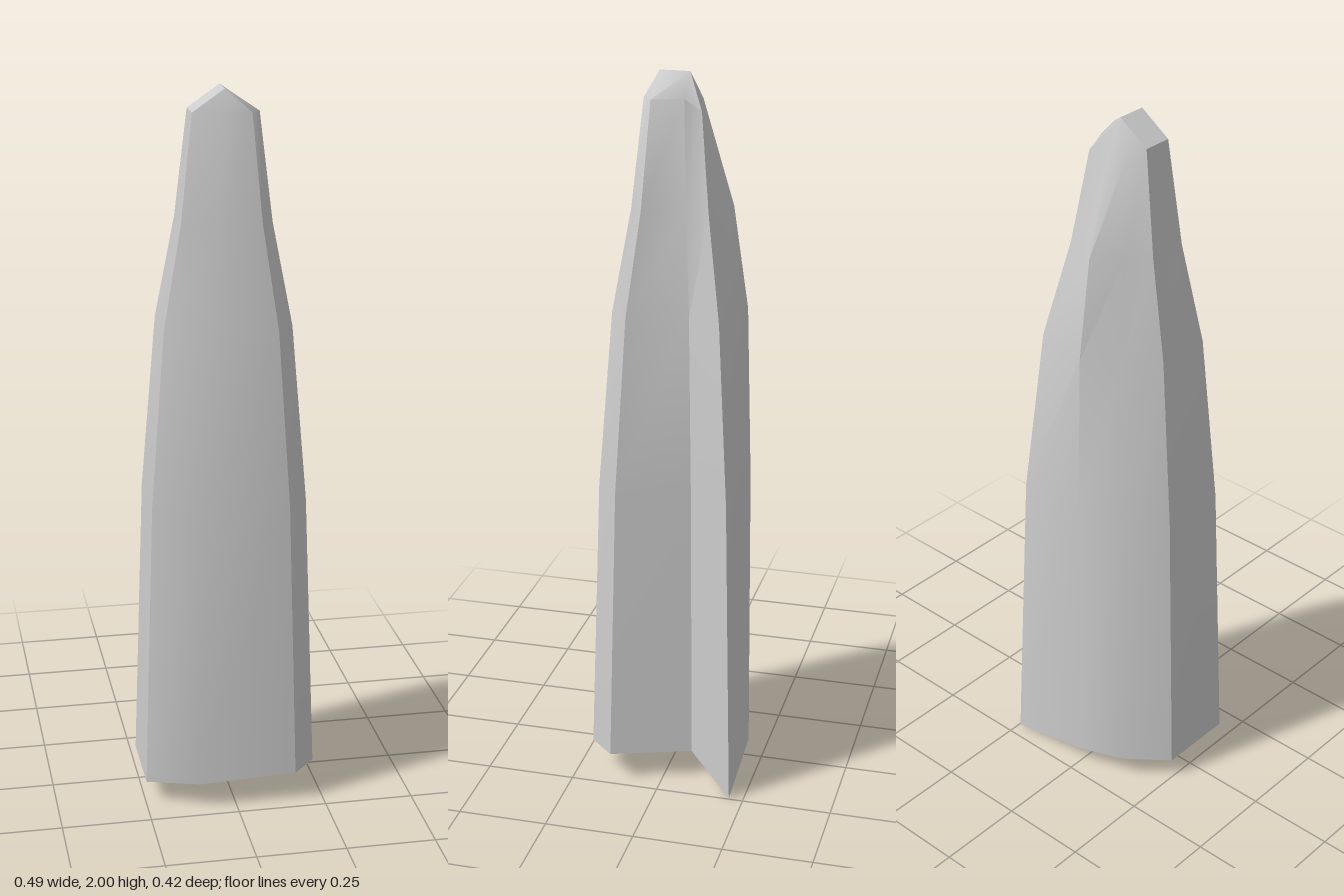
import * as THREE from 'three';
import { toCreasedNormals } from 'three/addons/utils/BufferGeometryUtils.js';

// Taper from base to crown at each level, and the heights of the middle levels
const TAPER = [0, 0.18, 0.44, 0.78, 1];
const BULGED = [0, 0.04, 0.14, 0.45, 1];
const LEVELS = [0.88, 1.37, 1.65];

// Vertical edges of the spire, clockwise from above: base point, crown point, taper
const EDGES = [
  { base: [-0.247, 0.06, -0.08], top: [-0.092, 1.94, -0.03] },
  { base: [-0.137, 0.065, -0.175], top: [-0.05, 1.92, -0.055] },
  { base: [-0.005, 0.05, -0.21], top: [-0.005, 1.89, -0.077], taper: BULGED },
  { base: [0.247, 0.0, -0.21], top: [0.058, 1.91, -0.077] },
  { base: [0.16, 0.085, -0.08], top: [0.058, 1.94, -0.03] },
  { base: [0.235, 0.085, 0.14], top: [0.087, 1.94, 0.052] },
  { base: [0.17, 0.085, 0.21], top: [0.063, 1.94, 0.077] },
  { base: [-0.107, 0.075, 0.21], top: [-0.005, 1.94, 0.077] },
  { base: [-0.247, 0.06, 0.14], top: [-0.092, 1.94, 0.052] },
];

// Short ridge at the very top
const RIDGE_BACK = [-0.005, 2, -0.03];
const RIDGE_FRONT = [-0.005, 2, 0.052];
const BASE_CENTRE = [0, 0.07, 0];

function edgePoint({ base, top, taper = TAPER }, level) {
  const t = taper[level];
  const y = level === 0 ? base[1] : level === 4 ? top[1] : LEVELS[level - 1];
  return [base[0] + (top[0] - base[0]) * t, y, base[2] + (top[2] - base[2]) * t];
}

function spireGeometry() {
  const positions = [];
  const tri = (...corners) => corners.forEach((c) => positions.push(...c));
  const ridge = (i) => (i <= 4 ? RIDGE_BACK : RIDGE_FRONT);
  const n = EDGES.length;

  for (let i = 0; i < n; i++) {
    const j = (i + 1) % n;

    // Side walls
    for (let k = 0; k < 4; k++) {
      const a = edgePoint(EDGES[i], k), b = edgePoint(EDGES[j], k);
      const aUp = edgePoint(EDGES[i], k + 1), bUp = edgePoint(EDGES[j], k + 1);
      tri(b, a, aUp);
      tri(b, aUp, bUp);
    }

    // Underside
    tri(BASE_CENTRE, edgePoint(EDGES[i], 0), edgePoint(EDGES[j], 0));

    // Crown rising to the ridge
    const a = edgePoint(EDGES[i], 4), b = edgePoint(EDGES[j], 4);
    tri(ridge(i), b, a);
    if (ridge(i) !== ridge(j)) tri(ridge(i), ridge(j), b);
  }

  const geometry = new THREE.BufferGeometry();
  geometry.setAttribute('position', new THREE.Float32BufferAttribute(positions, 3));
  return toCreasedNormals(geometry, THREE.MathUtils.degToRad(42));
}

export function createModel() {
  const group = new THREE.Group();
  group.name = 'rockSpire';
  const stone = new THREE.MeshStandardMaterial({ color: 0xcccccc });
  const spire = new THREE.Mesh(spireGeometry(), stone);
  spire.name = 'spire';
  group.add(spire);
  return group;
}
